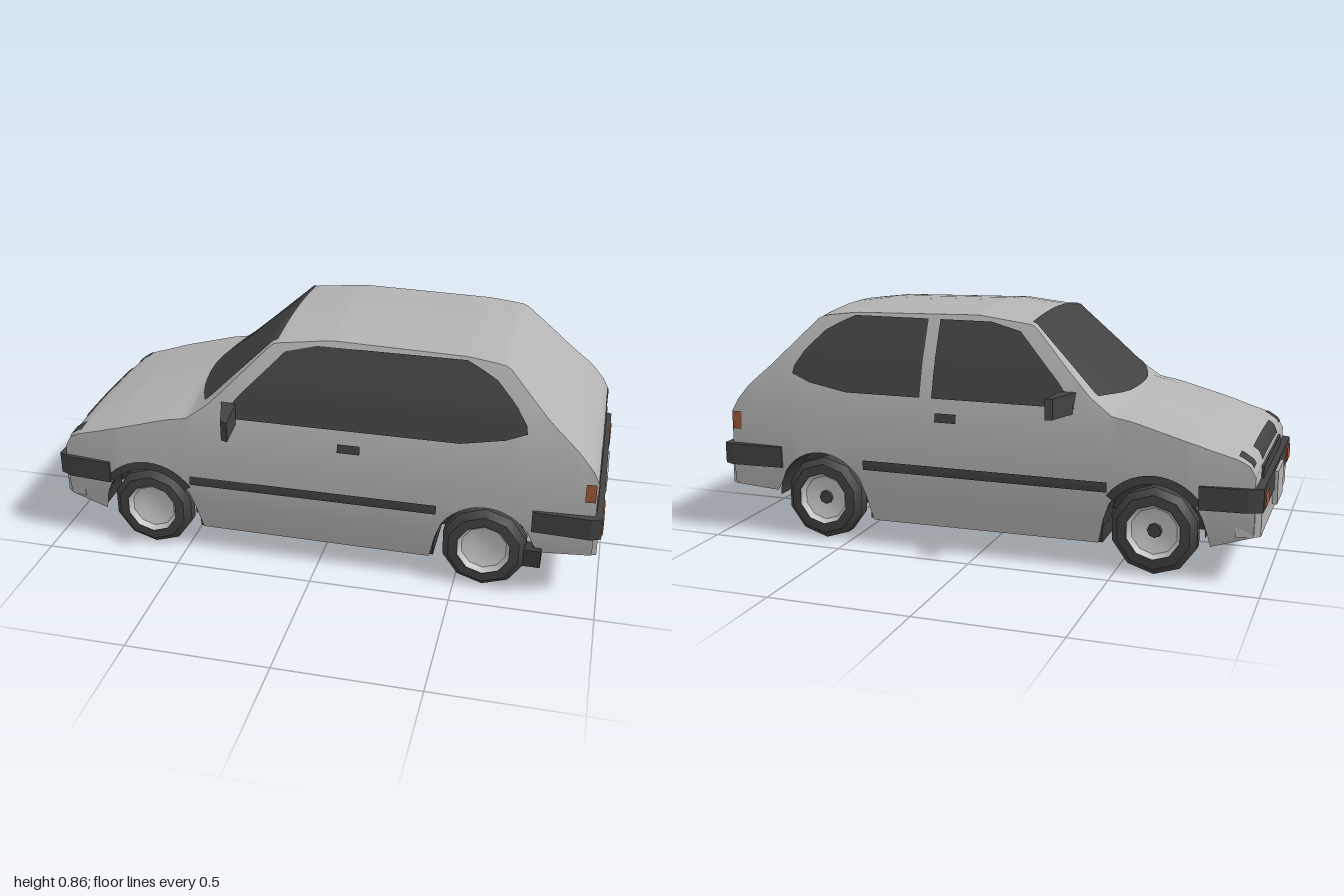
import * as THREE from 'three';
import { toCreasedNormals } from 'three/addons/utils/BufferGeometryUtils.js';

const mat = (name, color, side = THREE.FrontSide) => {
  const m = new THREE.MeshStandardMaterial({ color, side });
  m.name = name;
  return m;
};

// piecewise-linear lookup in a list of [key, value] pairs
function at(table, k) {
  if (k <= table[0][0]) return table[0][1];
  for (let i = 1; i < table.length; i++) {
    const [k0, v0] = table[i - 1], [k1, v1] = table[i];
    if (k <= k1) return v0 + (v1 - v0) * (k - k0) / (k1 - k0);
  }
  return table[table.length - 1][1];
}

// body rules: centre-line height, crown, half width by height, end taper
const TOP = [[-0.96, 0.385], [-0.945, 0.42], [-0.91, 0.445], [-0.78, 0.495], [-0.48, 0.585], [-0.18, 0.84],
  [0.03, 0.865], [0.5, 0.855], [0.64, 0.838], [0.9, 0.585], [0.95, 0.52], [0.97, 0.48]];
const CROWN = [[-0.96, 0.015], [-0.8, 0.03], [-0.55, 0.035], [-0.4, 0.055], [-0.16, 0.02], [0.6, 0.02], [0.8, 0.03], [0.97, 0.015]];
const HALF = [[0.09, 0.38], [0.2, 0.402], [0.3, 0.41], [0.42, 0.405], [0.55, 0.39], [0.68, 0.353], [0.86, 0.275]];
const TAPER = [[-0.96, 0.94], [-0.75, 1], [0.7, 1], [0.97, 0.97]];
const BASE = [[-0.96, 0.165], [-0.8, 0.115], [-0.45, 0.095], [0.4, 0.09], [0.775, 0.17], [0.97, 0.18]];
const AXLES = [-0.63, 0.6], WHEEL_Y = 0.157, ARCH = 0.175;

const edgeY = x => at(TOP, x) - at(CROWN, x);
const sideZ = (x, y) => at(HALF, y) * at(TAPER, x);
function topY(x, z) {
  const s = z / sideZ(x, edgeY(x));
  return edgeY(x) + at(CROWN, x) * (1 - s * s);
}
function bottomY(x) {
  let y = at(BASE, x);
  for (const a of AXLES) {
    const d = Math.abs(x - a);
    if (d < ARCH) y = Math.max(y, WHEEL_Y + Math.sqrt(ARCH * ARCH - d * d));
  }
  return y;
}

function gridIndex(rows, cols) {
  const idx = [];
  for (let i = 0; i < rows - 1; i++) for (let j = 0; j < cols - 1; j++) {
    const a = i * cols + j, b = a + cols;
    idx.push(a, b, a + 1, b, b + 1, a + 1);
  }
  return idx;
}

function fromPoints(pos, idx) {
  const g = new THREE.BufferGeometry();
  g.setAttribute('position', new THREE.Float32BufferAttribute(pos, 3));
  g.setIndex(idx);
  g.computeVertexNormals();
  return g;
}

// shell lofted from cross-sections along x, with wheel arches in its lower edge
function bodyGeometry() {
  const levels = [0, 0.2, 0.3, 0.42, 0.55, 0.68, 1], crownSteps = [0.66, 0.33, 0];
  const n = 97, cols = 2 * (levels.length + crownSteps.length) - 1, pos = [];
  for (let i = 0; i < n; i++) {
    const x = -0.96 + 1.93 * i / (n - 1), e = edgeY(x), b = bottomY(x);
    const half = levels.map(l => {
      const y = Math.min(Math.max(l, b), e);
      return [y, sideZ(x, y)];
    });
    for (const s of crownSteps) {
      const z = s * sideZ(x, e);
      half.push([topY(x, z), z]);
    }
    for (const [y, z] of half) pos.push(x, y, z);
    for (const [y, z] of half.slice(0, -1).reverse()) pos.push(x, y, -z);
  }
  const idx = gridIndex(n, cols), r = (n - 1) * cols;
  for (let k = 1; k < cols - 1; k++) idx.push(0, k, k + 1, r, r + k + 1, r + k);
  return toCreasedNormals(fromPoints(pos, idx), 0.65);
}

// thin sheet following a rule f(u, v) -> [x, y, z]
function sheet(f, nu = 16, nv = 10) {
  const pos = [];
  for (let i = 0; i <= nu; i++) for (let j = 0; j <= nv; j++) pos.push(...f(i / nu, j / nv));
  return fromPoints(pos, gridIndex(nu + 1, nv + 1));
}
const mix = (a, b, t) => a + (b - a) * t;
const sidePatch = (s, x0, x1, y0, y1) => sheet((u, v) => {
  const y = mix(y0, y1, v), x = mix(x0(y), x1(y), s > 0 ? u : 1 - u);
  return [x, y, s * (sideZ(x, y) + 0.005)];
});
const topPatch = (x0, x1, z0, z1) => sheet((u, v) => {
  const x = mix(x0, x1, u), z = mix(z1, z0, v);
  return [x, topY(x, z) + 0.005, z];
}, 6, 8);

// plan outline [x, z] raised from y0 to y1
function slab(points, y0, y1) {
  const shape = new THREE.Shape(points.map(([x, z]) => new THREE.Vector2(x, -z)));
  return new THREE.ExtrudeGeometry(shape, { depth: y1 - y0, bevelEnabled: false }).rotateX(-Math.PI / 2).translate(0, y0, 0);
}
const mirrored = half => [...half, ...half.map(([x, z]) => [x, -z]).reverse()];

export function createModel() {
  const paint = mat('silver paint', 0xb3b3b3);
  const dark = mat('dark trim', 0x424242, THREE.DoubleSide);
  const under = mat('underbody', 0x383838, THREE.DoubleSide);
  const rubber = mat('tyre rubber', 0x424242);
  const metal = mat('wheel metal', 0xc6c6c6);
  const amber = mat('amber lamp', 0x985538, THREE.DoubleSide);
  const model = new THREE.Group();
  const add = (name, geo, m, parent = model) => {
    const mesh = new THREE.Mesh(geo, m);
    mesh.name = name;
    parent.add(mesh);
  };
  const box = (name, m, [x0, x1], [y0, y1], [z0, z1]) => add(name,
    new THREE.BoxGeometry(x1 - x0, y1 - y0, z1 - z0).translate((x0 + x1) / 2, (y0 + y1) / 2, (z0 + z1) / 2), m);

  add('body', bodyGeometry(), paint);

  // glass
  add('windshield', sheet((u, v) => {
    const s = 1 - 2 * v;
    const x = mix(-0.495 + 0.075 * s * s, -0.165, u), z = s * mix(0.345, 0.275, u);
    return [x, topY(x, z) + 0.006, z];
  }), dark);
  const front = y => at([[0.56, -0.35], [0.65, -0.28], [0.8, -0.13], [0.826, -0.02]], y);
  const rear = y => at([[0.56, 0.5], [0.595, 0.7], [0.62, 0.73], [0.7, 0.68], [0.78, 0.6], [0.826, 0.5]], y);
  add('leftWindow', sidePatch(1, front, rear, 0.56, 0.826), dark);
  add('rightDoorWindow', sidePatch(-1, front, () => 0.17, 0.56, 0.826), dark);
  add('rightRearWindow', sidePatch(-1, () => 0.215, rear, 0.56, 0.826), dark);

  // bumpers, aprons, grille and plates
  add('frontBumper', slab(mirrored([[-0.78, 0.416], [-0.94, 0.402], [-0.988, 0.38]]), 0.255, 0.335), dark);
  add('frontApron', slab(mirrored([[-0.9, 0.385], [-0.95, 0.375], [-0.98, 0.355]]), 0.165, 0.255), paint);
  add('rearBumper', slab(mirrored([[0.995, 0.41], [0.96, 0.425], [0.76, 0.416]]), 0.264, 0.342), dark);
  add('rearApron', slab(mirrored([[0.985, 0.38], [0.95, 0.388], [0.9, 0.39]]), 0.182, 0.264), paint);
  add('grille', topPatch(-0.958, -0.925, -0.21, 0.21), dark);
  box('grillePanel', dark, [-0.968, -0.959], [0.335, 0.375], [-0.24, 0.24]);
  box('frontPlate', paint, [-1, -0.982], [0.2, 0.32], [-0.085, 0.085]);
  box('rearPlate', paint, [0.99, 1], [0.265, 0.33], [-0.11, 0.085]);
  box('hatchPanel', dark, [0.966, 0.975], [0.368, 0.478], [-0.185, 0.2]);

  for (const s of [1, -1]) {
    const span = (a, b) => s > 0 ? [a, b] : [-b, -a];
    // lamps
    add('headlamp', topPatch(-0.95, -0.9, ...span(0.31, 0.365)), dark);
    box('frontIndicator', amber, [-0.993, -0.986], [0.265, 0.315], span(0.27, 0.36));
    box('rearIndicator', amber, [0.99, 0.999], [0.275, 0.325], s > 0 ? [0.25, 0.4] : [-0.36, -0.26]);
    box('tailLamp', dark, [0.966, 0.974], [0.36, 0.46], span(0.355, 0.388));
    add('sideLamp', sidePatch(s, () => 0.93, () => 0.965, 0.395, 0.46), amber);

    // side trim, handle and mirror
    add('sideStripe', sidePatch(s, () => -0.47, () => 0.43, 0.285, 0.32), dark);
    add('doorHandle', sidePatch(s, () => 0.075, () => 0.155, 0.478, 0.51), dark);
    const tip = s * 0.517 + 0.01, mirror = [[-0.35, s * 0.37], [-0.295, s * 0.37], [-0.28, tip], [-0.305, tip - s * 0.01]];
    add('wingMirror', slab(mirror, 0.54, 0.612), dark);

    // dark lip over the front wheel
    add('frontArchLip', sheet((u, v) => {
      const a = mix(0.2, 0.8, s > 0 ? 1 - u : u) * Math.PI, r = mix(ARCH - 0.005, ARCH + 0.025, v);
      const x = AXLES[0] + r * Math.cos(a), y = WHEEL_Y + r * Math.sin(a);
      return [x, y, s * (sideZ(x, y) + 0.005)];
    }, 14, 1), dark);

    for (const x of AXLES) {
      // wheel arch liner
      const liner = new THREE.CylinderGeometry(ARCH, ARCH, 0.13, 16, 1, true, Math.PI / 2, Math.PI);
      add('archLiner', liner.rotateX(Math.PI / 2).translate(x, WHEEL_Y, s * 0.335), under);

      // wheel
      const wheel = new THREE.Group();
      wheel.name = 'wheel';
      wheel.position.set(x, WHEEL_Y, s * 0.362);
      wheel.rotation.x = s * Math.PI / 2;
      model.add(wheel);
      const tyre = [[0, -0.042], [0.125, -0.042], [0.153, -0.022], [0.153, 0.018], [0.13, 0.04], [0.096, 0.042], [0.092, 0.025]];
      const rim = [[0.096, 0.04], [0.082, 0.022], [0.045, 0.012], [0, 0.01]];
      const lathe = p => new THREE.LatheGeometry(p.map(q => new THREE.Vector2(...q)), 10);
      add('tyre', toCreasedNormals(lathe(tyre), 0.7), rubber, wheel);
      add('rim', toCreasedNormals(lathe(rim), 0.6), metal, wheel);
      if (s < 0) add('hubCap', new THREE.CylinderGeometry(0.024, 0.026, 0.012, 8).translate(0, 0.016, 0), dark, wheel);
    }
  }

  // underside
  box('floor', under, [-0.94, 0.94], [0.19, 0.37], [-0.275, 0.275]);
  box('sillFloor', under, [-0.45, 0.42], [0.095, 0.2], [-0.375, 0.375]);
  box('frontFloor', under, [-0.945, -0.81], [0.17, 0.24], [-0.36, 0.36]);
  box('rearFloor', under, [0.78, 0.955], [0.19, 0.26], [-0.375, 0.375]);
  box('engineTray', under, [-0.78, -0.45], [0.12, 0.2], [-0.2, 0.2]);
  box('fuelTank', under, [0.42, 0.72], [0.13, 0.2], [-0.22, 0.22]);
  box('mudFlap', under, [0.74, 0.8], [0.125, 0.19], [0.36, 0.42]);
  for (const x of AXLES) add('axle', new THREE.CylinderGeometry(0.025, 0.025, 0.66, 8).rotateX(Math.PI / 2).translate(x, WHEEL_Y, 0), under);
  const pipe = new THREE.CatmullRomCurve3([[0.38, 0.11, 0.05], [0.55, 0.11, 0.1], [0.7, 0.125, 0.14], [0.8, 0.15, 0.14]].map(p => new THREE.Vector3(...p)));
  add('exhaust', new THREE.TubeGeometry(pipe, 12, 0.02, 8), under);

  model.position.z = -0.01;
  const root = new THREE.Group();
  root.name = 'hatchback';
  root.add(model);
  return root;
}
